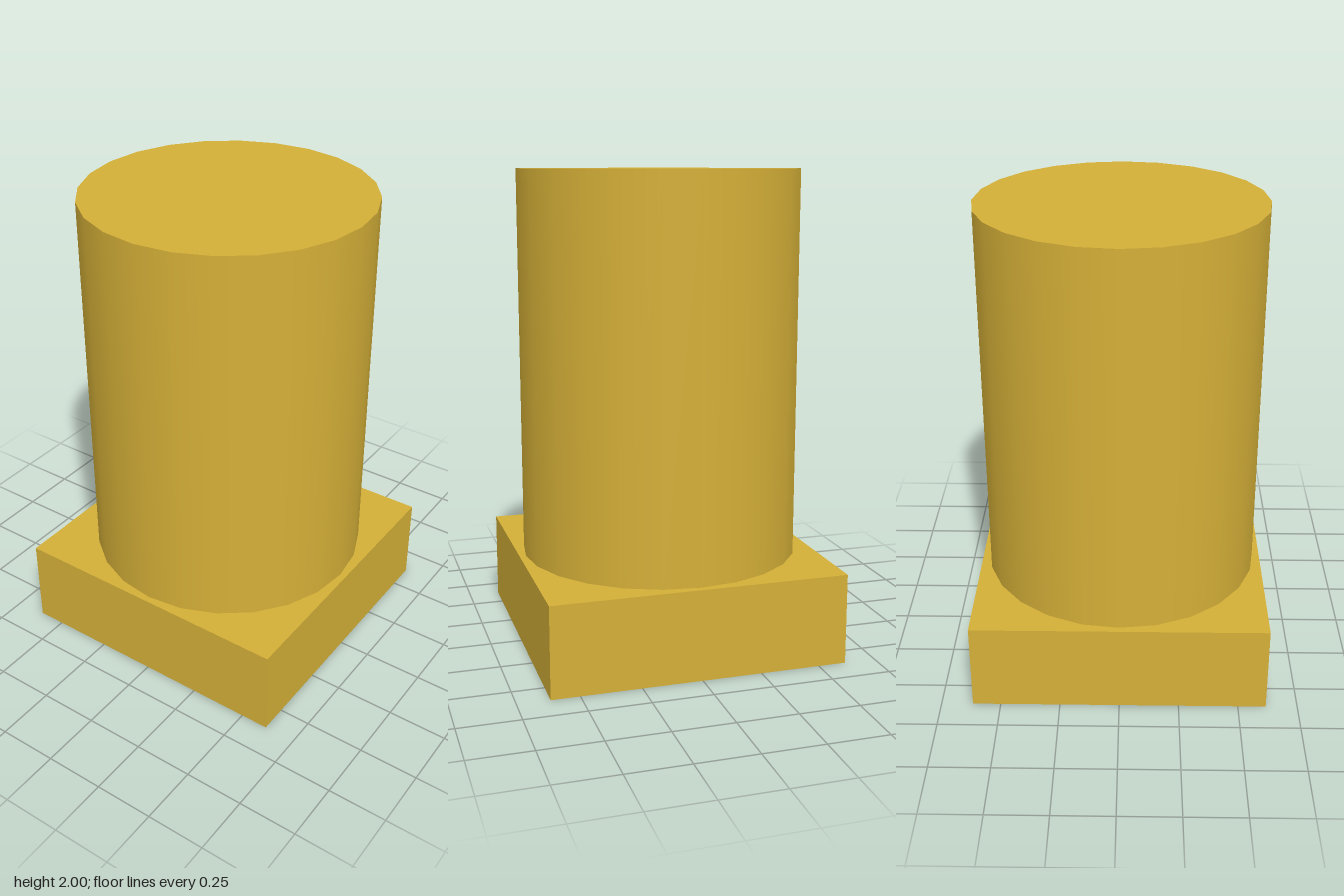
import * as THREE from 'three';

export function createModel() {
  const model = new THREE.Group();
  const gold = new THREE.MeshStandardMaterial({ color: 0xd4af37 });
  gold.name = 'gold';

  const baseSize = 1.235, baseHeight = 0.38, totalHeight = 2, radius = 0.59;

  const add = (name, geometry, y) => {
    const mesh = new THREE.Mesh(geometry, gold);
    mesh.name = name;
    mesh.position.y = y;
    model.add(mesh);
  };

  // Square plinth
  add('base', new THREE.BoxGeometry(baseSize, baseHeight, baseSize), baseHeight / 2);

  // Smooth round column standing on the plinth
  const columnHeight = totalHeight - baseHeight;
  add('column', new THREE.CylinderGeometry(radius, radius, columnHeight, 24), baseHeight + columnHeight / 2);

  return model;
}
